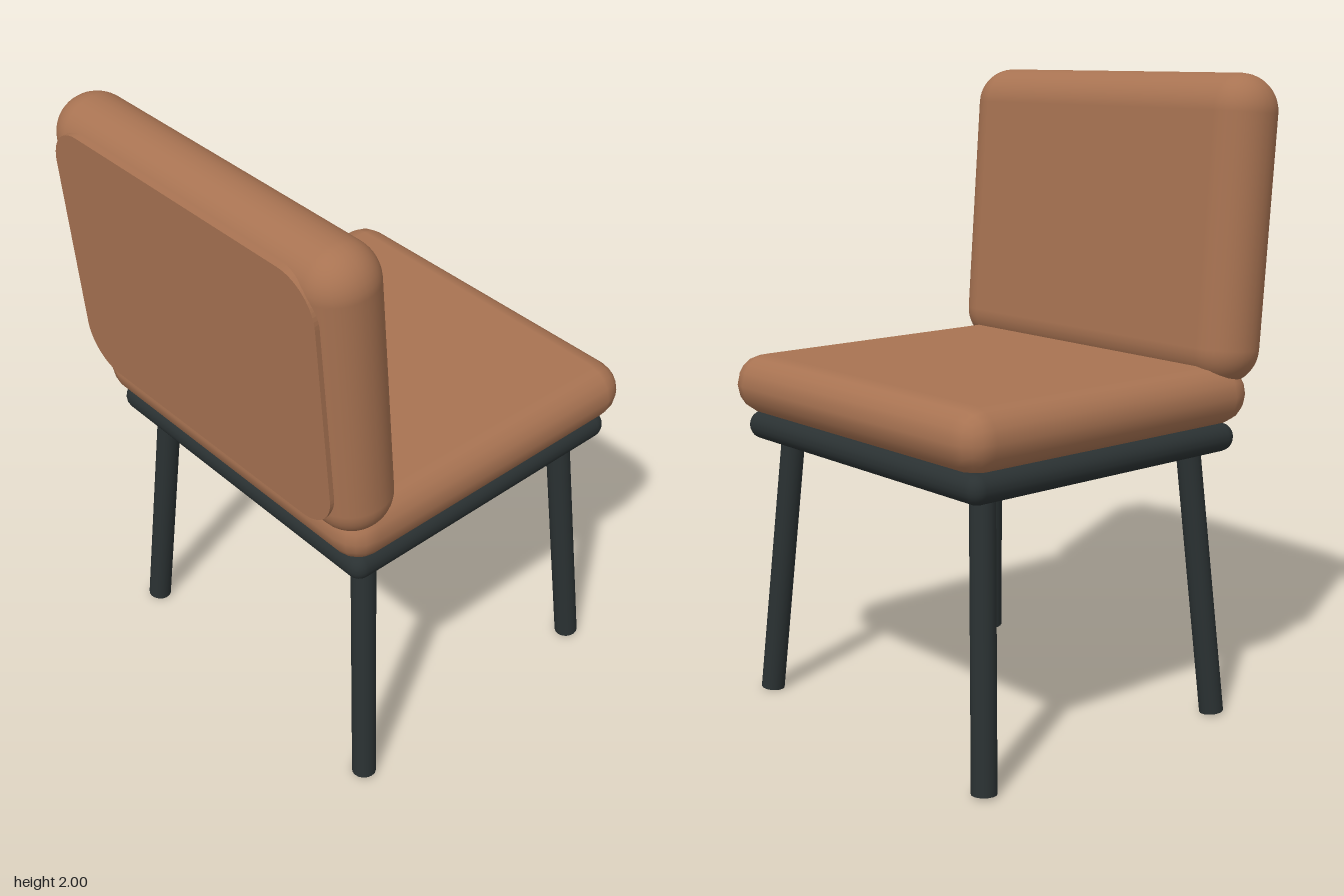
import * as THREE from 'three';
import { RoundedBoxGeometry } from 'three/addons/geometries/RoundedBoxGeometry.js';

const leather = new THREE.MeshStandardMaterial({ color: 0xa87352 });
const darkMetal = new THREE.MeshStandardMaterial({ color: 0x2a3132 });

function part(name, geometry, material, x = 0, y = 0, z = 0) {
  const mesh = new THREE.Mesh(geometry, material);
  mesh.name = name;
  mesh.position.set(x, y, z);
  return mesh;
}

// Outline of a rounded rectangle centred on the origin
function roundedRect(w, h, r) {
  const x = w / 2 - r, y = h / 2 - r;
  const shape = new THREE.Shape();
  shape.absarc(x, y, r, 0, Math.PI / 2);
  shape.absarc(-x, y, r, Math.PI / 2, Math.PI);
  shape.absarc(-x, -y, r, Math.PI, Math.PI * 1.5);
  shape.absarc(x, -y, r, Math.PI * 1.5, Math.PI * 2);
  shape.closePath();
  return shape;
}

// Round leg running between two points
function leg(name, foot, top, radius) {
  const axis = top.clone().sub(foot);
  const mesh = part(name, new THREE.CylinderGeometry(radius, radius, axis.length(), 16), darkMetal);
  mesh.position.copy(foot).add(top).multiplyScalar(0.5);
  mesh.quaternion.setFromUnitVectors(new THREE.Vector3(0, 1, 0), axis.normalize());
  return mesh;
}

export function createModel() {
  const chair = new THREE.Group();
  chair.name = 'chair';

  // Seat cushion on a dark base frame
  chair.add(part('seatCushion', new RoundedBoxGeometry(1.22, 0.19, 1.145, 2, 0.095), leather, 0, 1.03, -0.05));
  chair.add(part('seatFrame', new RoundedBoxGeometry(1.15, 0.09, 1.06, 3, 0.044), darkMetal, 0, 0.895, -0.05));

  // Padded backrest, leaning outwards, with a thin panel on its outer face
  const backrest = new THREE.Group();
  backrest.name = 'backrest';
  backrest.position.set(0, 1.528, 0.478);
  backrest.rotation.x = 0.075;
  backrest.add(part('backCushion', new RoundedBoxGeometry(1.265, 0.944, 0.234, 5, 0.116), leather));
  const panel = new THREE.ExtrudeGeometry(roundedRect(1.135, 0.84, 0.13), {
    depth: 0.04, bevelEnabled: false, curveSegments: 8,
  });
  backrest.add(part('backPanel', panel, leather, 0, 0, 0.08));
  chair.add(backrest);

  // Four splayed legs
  for (const side of [-1, 1]) {
    const label = side > 0 ? 'Left' : 'Right';
    for (const end of [-1, 1]) {
      chair.add(leg(
        (end > 0 ? 'front' : 'back') + label + 'Leg',
        new THREE.Vector3(side * 0.543, 0.004, -0.05 + end * 0.472),
        new THREE.Vector3(side * 0.468, 0.88, -0.05 + end * 0.413),
        0.038,
      ));
    }
  }
  return chair;
}
